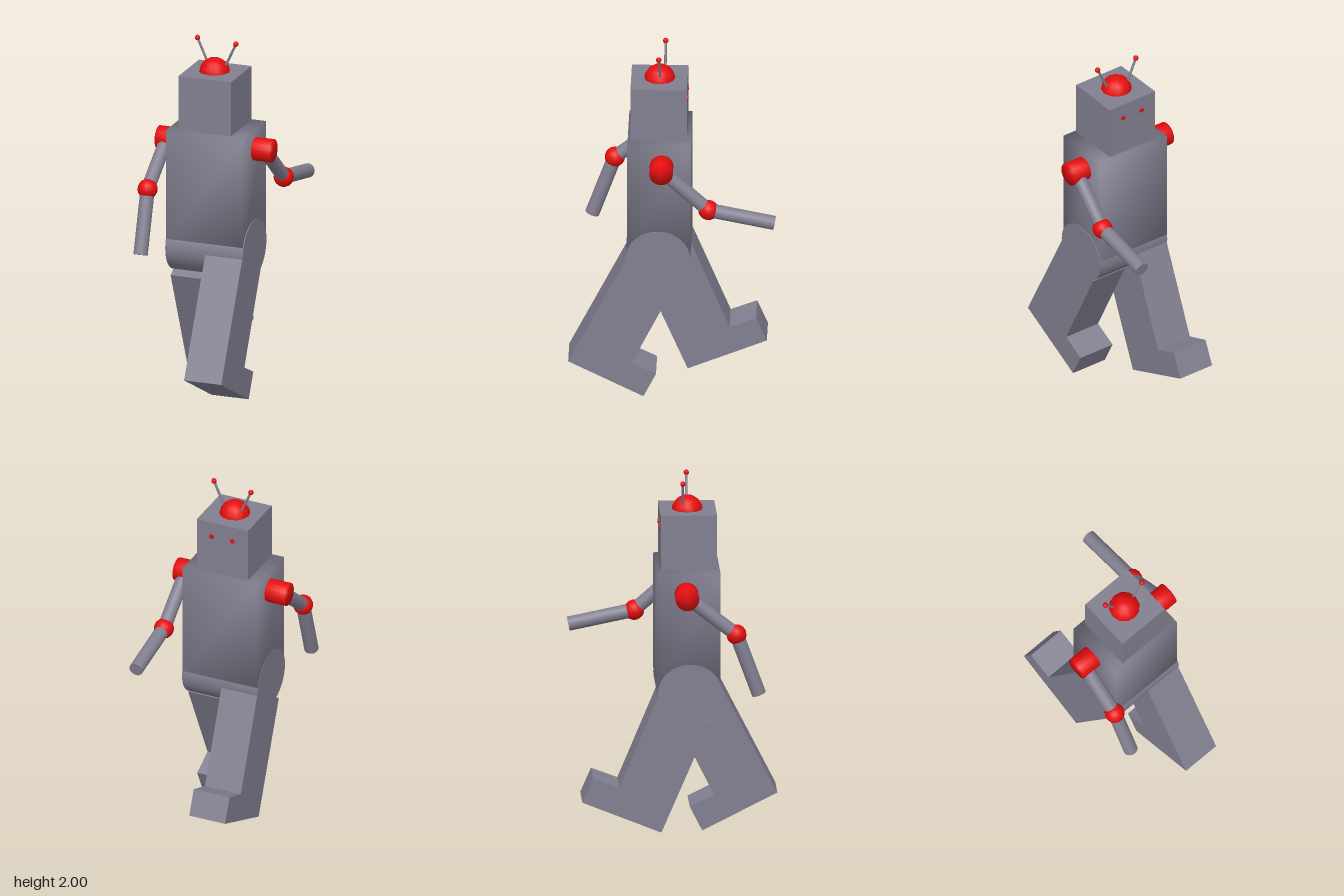
import * as THREE from 'three';
import { mergeVertices } from 'three/addons/utils/BufferGeometryUtils.js';

const grey = new THREE.MeshStandardMaterial({ name: 'steelGrey', color: 0x827f90 });
const red = new THREE.MeshStandardMaterial({ name: 'signalRed', color: 0xe60e0e });

export function createModel() {
  const robot = new THREE.Group();
  robot.name = 'robot';

  const add = (name, geometry, material, x = 0, y = 0, z = 0) => {
    const mesh = new THREE.Mesh(geometry, material);
    mesh.name = name;
    mesh.position.set(x, y, z);
    robot.add(mesh);
    return mesh;
  };

  // Shares normals across every edge for soft shading
  const soften = (geometry) => {
    geometry.deleteAttribute('normal');
    geometry.deleteAttribute('uv');
    const merged = mergeVertices(geometry, 1e-4);
    merged.computeVertexNormals();
    return merged;
  };

  // Round bar between two points
  const bar = (name, from, to, radius, sides = 20) => {
    const a = new THREE.Vector3(...from);
    const b = new THREE.Vector3(...to);
    const mesh = add(name, new THREE.CylinderGeometry(radius, radius, a.distanceTo(b), sides), grey);
    mesh.position.copy(a).lerp(b, 0.5);
    mesh.quaternion.setFromUnitVectors(new THREE.Vector3(0, 1, 0), b.sub(a).normalize());
  };

  const ball = (name, radius, [x, y, z], w = 14, h = 10) =>
    add(name, new THREE.SphereGeometry(radius, w, h), red, x, y, z);

  // Torso and head
  add('torso', soften(new THREE.BoxGeometry(0.445, 0.64, 0.342)), grey, 0.003, 1.19, 0.07);
  add('head', new THREE.BoxGeometry(0.305, 0.307, 0.305), grey, -0.001, 1.667, 0.073);
  ball('headDome', 0.086, [-0.005, 1.81, 0.071], 12, 8);

  // Eyes on the -z face of the head
  for (const x of [-0.062, 0.062]) {
    const eye = add('eye', new THREE.CylinderGeometry(0.013, 0.013, 0.008, 12), red, x, 1.735, -0.081);
    eye.rotation.x = Math.PI / 2;
  }

  // Antennae
  const antennae = [
    [[-0.045, 1.83, 0.042], [-0.115, 1.988, 0.042]],
    [[0.047, 1.83, 0.068], [0.12, 1.988, 0.073]],
  ];
  for (const [base, tip] of antennae) {
    bar('antennaStem', base, tip, 0.007, 8);
    ball('antennaTip', 0.015, tip, 10, 8);
  }

  // Arms: shoulder, elbow and hand-end positions
  const arms = [
    { side: 'left', sx: 0.265, shoulder: [0.279, 1.4, 0.055], elbow: [0.291, 1.17, -0.2], end: [0.291, 1.097, -0.557] },
    { side: 'right', sx: -0.27, shoulder: [-0.287, 1.4, 0.055], elbow: [-0.295, 1.19, 0.322], end: [-0.288, 0.853, 0.444] },
  ];
  for (const { side, sx, shoulder, elbow, end } of arms) {
    const joint = add(side + 'Shoulder', soften(new THREE.CylinderGeometry(0.064, 0.064, 0.13, 20)),
      red, sx, 1.4, 0.055);
    joint.rotation.z = Math.PI / 2;
    bar(side + 'UpperArm', shoulder, elbow, 0.038);
    ball(side + 'Elbow', 0.055, elbow);
    bar(side + 'Forearm', elbow, end, 0.039);
  }

  // Legs: side outlines as [z, y], spread across x, with a hip drum each
  const legs = [
    { side: 'left', x0: 0.01, x1: 0.226,
      outline: [[0.243, 0.84], [0.56, 0.21], [0.153, 0.004], [0.085, 0.14], [0.217, 0.205], [-0.03, 0.705]] },
    { side: 'right', x0: -0.218, x1: -0.004,
      outline: [[-0.098, 0.82], [-0.307, 0.315], [-0.45, 0.37], [-0.508, 0.235], [-0.08, 0.06], [0.178, 0.665]] },
  ];
  for (const { side, x0, x1, outline } of legs) {
    // Shape x runs along -z, so that a quarter turn about y puts depth on +x
    const shape = new THREE.Shape(outline.map(([z, y]) => new THREE.Vector2(-z, y)));
    const leg = new THREE.ExtrudeGeometry(shape, { depth: x1 - x0, bevelEnabled: false });
    leg.rotateY(Math.PI / 2);
    add(side + 'Leg', leg, grey, x0, 0, 0);

    const hip = new THREE.CylinderGeometry(1, 1, 1, 40);
    hip.rotateZ(Math.PI / 2);
    const outer = side === 'left' ? [0, 0.23] : [-0.221, 0];
    add(side + 'Hip', hip, grey, (outer[0] + outer[1]) / 2, 0.84, 0.075)
      .scale.set(outer[1] - outer[0], 0.161, 0.175);
  }

  return robot;
}
